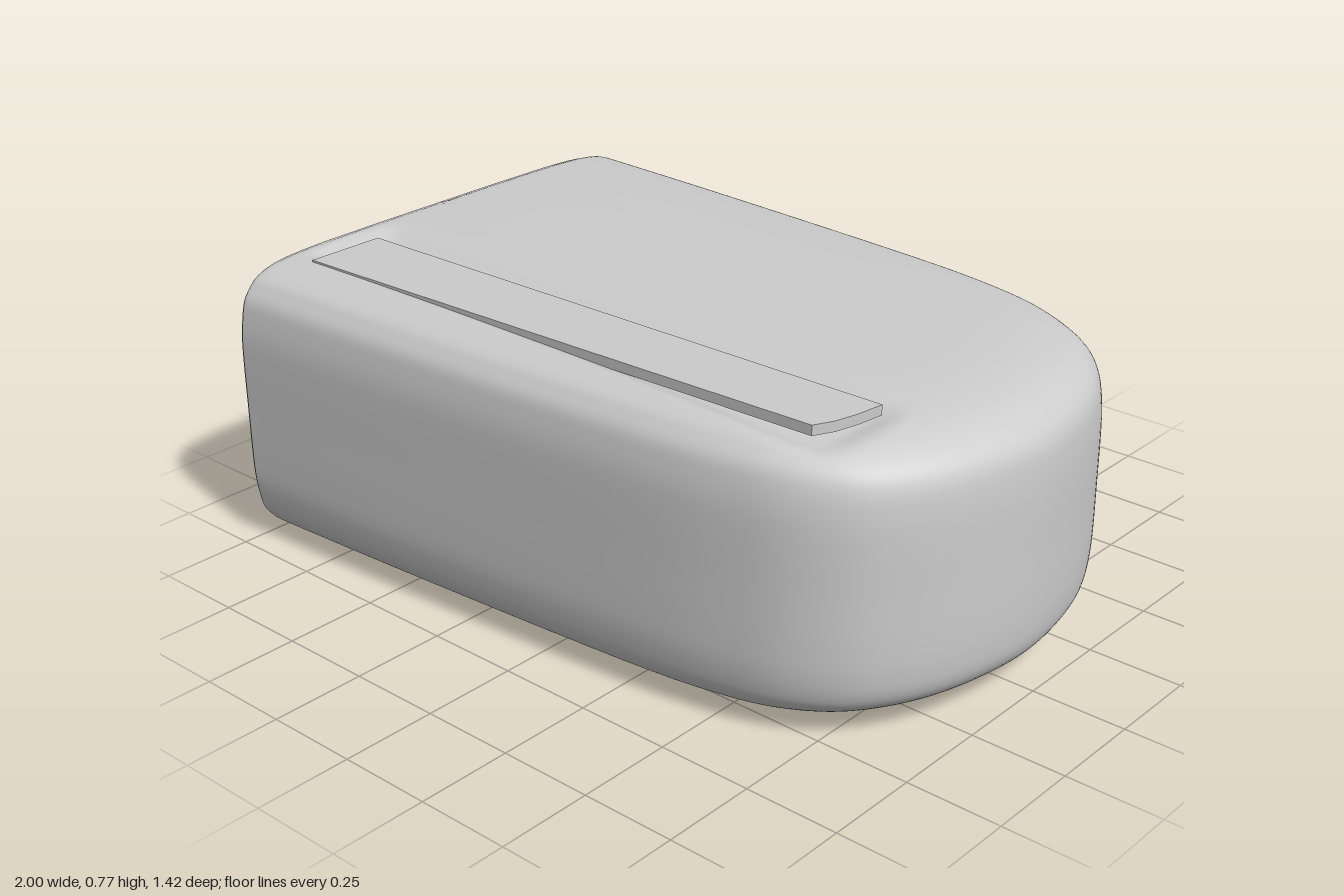
import * as THREE from 'three';

const smooth = THREE.MathUtils.smoothstep;
const MID = 0.3825;

// Half outline seen from above: [x, half width], from the flat end to the nose
const OUTLINE = [[-1, 0.695], [-0.985, 0.709], [-0.93, 0.708], [-0.5, 0.687], [0, 0.658], [0.35, 0.632],
  [0.55, 0.604], [0.7, 0.563], [0.82, 0.49], [0.9, 0.39], [0.955, 0.27], [0.988, 0.13], [1, 0]];

// Upper edge rounding: [y, nose inset, side inset as a fraction of the width]
const ROUNDING = [[MID, 0, 0], [0.5, 0, 0], [0.58, 0.003, 0.003], [0.64, 0.012, 0.015], [0.68, 0.035, 0.03],
  [0.71, 0.075, 0.06], [0.73, 0.125, 0.09], [0.745, 0.2, 0.14], [0.754, 0.3, 0.2], [0.759, 0.42, 0.27],
  [0.763, 0.6, 0.4], [0.764, 0.95, 0.55], [0.765, 1.3, 0.7], [0.765, 1.65, 0.85], [0.765, 2, 1]];

// Shallow hollow around the inset strip
function hollow(x, z) {
  const along = smooth(x, -0.96, -0.9) * (1 - smooth(x, 0.7, 0.8));
  const across = smooth(z, 0.19, 0.3) * (1 - smooth(z, 0.46, 0.53));
  return 0.026 * along * across;
}

function bodyGeometry() {
  const side = OUTLINE.map(([x, z]) => new THREE.Vector3(x, 0, z));
  const mirrored = side.slice(0, -1).reverse().map(p => new THREE.Vector3(p.x, 0, -p.z));
  const ring = new THREE.CatmullRomCurve3([...side, ...mirrored], false, 'catmullrom').getPoints(144);
  const rise = new THREE.CatmullRomCurve3(ROUNDING.map(r => new THREE.Vector3(...r)), false, 'catmullrom').getPoints(112);
  const levels = [...rise.slice(1).reverse().map(p => new THREE.Vector3(2 * MID - p.x, p.y, p.z)), ...rise];

  const pos = [], index = [], n = ring.length;
  levels.forEach((level, i) => {
    ring.forEach((p, j) => {
      const x = -1 + (p.x + 1) * (1 - level.y / 2);
      const z = p.z * (1 - level.z);
      // slight rounding where the shell meets the flat end, slight fall to the nose
      const squeeze = 1 - 0.02 * (1 - smooth(x, -1, -0.97)) - 0.015 * smooth(x, -0.9, 0.6);
      let y = MID + (level.x - MID) * squeeze;
      if (level.x > MID) y -= hollow(x, z) * smooth(level.x, 0.7, 0.75);
      pos.push(x, y, z);
      if (i && j) {
        const d = i * n + j, c = d - 1, b = d - n, a = b - 1;
        index.push(a, b, d, a, d, c);
      }
    });
  });
  const geo = new THREE.BufferGeometry();
  geo.setAttribute('position', new THREE.Float32BufferAttribute(pos, 3));
  geo.setIndex(index);
  geo.computeVertexNormals();

  // rim of the flat end, read off the first and last point of each level
  const at = k => new THREE.Vector2(pos[k * 3 + 2], pos[k * 3 + 1]);
  const rim = levels.map((_, i) => at(i * n));
  for (let i = levels.length - 2; i > 0; i--) rim.push(at(i * n + n - 1));
  return { geo, rim };
}

export function createModel() {
  const model = new THREE.Group();
  const material = new THREE.MeshStandardMaterial({ color: 0xcccccc, side: THREE.DoubleSide });
  const add = (name, geo) => {
    const mesh = new THREE.Mesh(geo, material);
    mesh.name = name;
    model.add(mesh);
    return mesh;
  };

  // Rounded, tapering body
  const { geo, rim } = bodyGeometry();
  add('body', geo);

  // Flat end, facing -x
  const end = new THREE.ShapeGeometry(new THREE.Shape(rim));
  end.rotateY(-Math.PI / 2);
  add('flatEnd', end).position.x = -1;

  // Thin strip lying in the hollow on top
  const outline = [[-0.9, 0.53], [0.69, 0.47], [0.715, 0.42], [0.73, 0.36], [0.74, 0.285], [-0.9, 0.31]];
  const strip = new THREE.ExtrudeGeometry(new THREE.Shape(outline.map(([x, z]) => new THREE.Vector2(x, -z))),
    { depth: 0.026, bevelEnabled: false });
  strip.rotateX(-Math.PI / 2);
  add('topStrip', strip).position.y = 0.737;

  return model;
}
